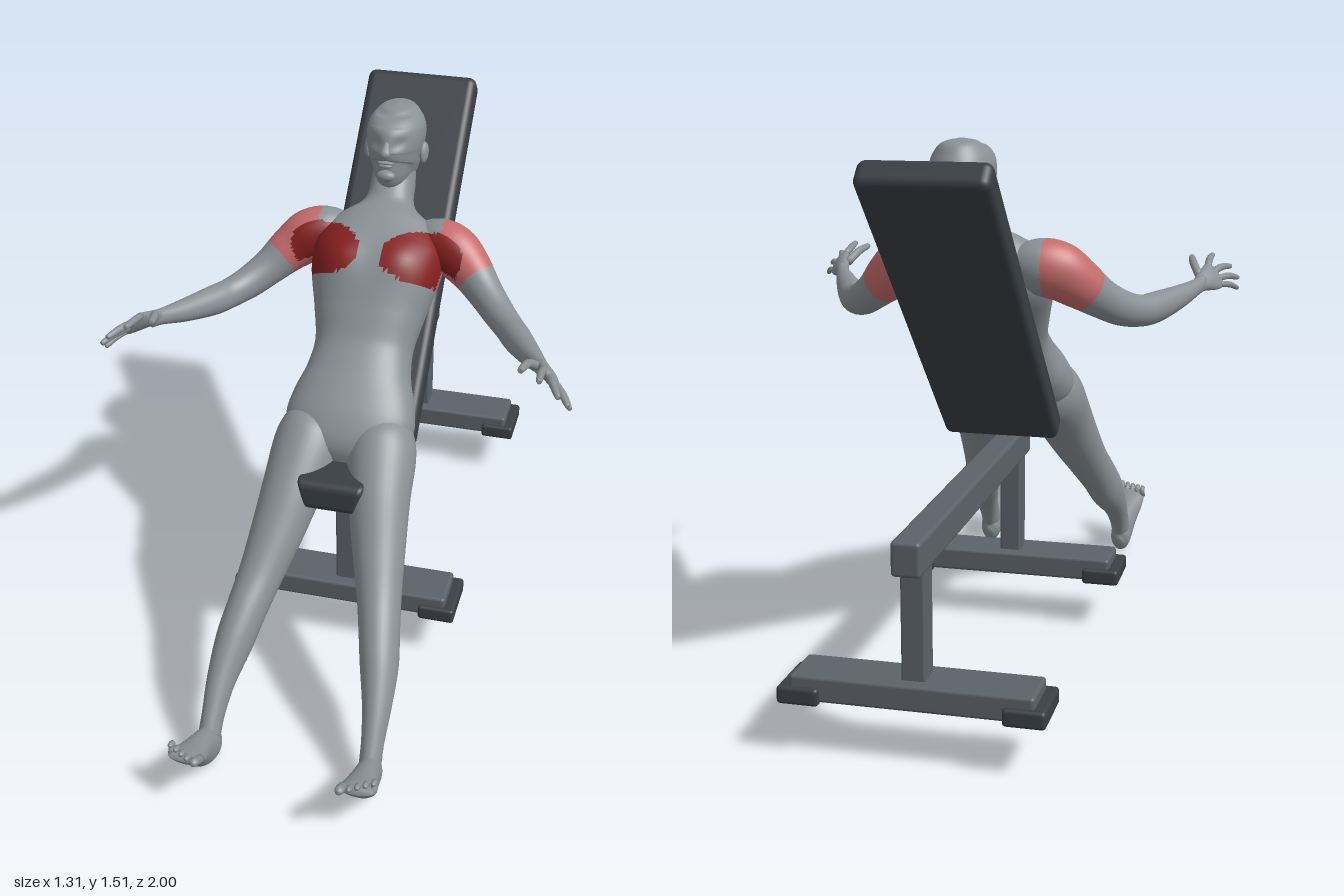
import * as THREE from 'three';
import { RoundedBoxGeometry } from 'three/addons/geometries/RoundedBoxGeometry.js';

const mat = (name, color) => Object.assign(new THREE.MeshStandardMaterial({ color }), { name });

export function createModel() {
  const model = new THREE.Group();
  model.name = 'inclineBenchFigure';
  const skin = mat('skinGrey', 0x8a9195);
  const red = mat('mainMuscleRed', 0x85201f);
  const pink = mat('assistMuscleRed', 0xc46b6b);
  const steel = mat('frameSteel', 0x5c626a);
  const pad = mat('padDark', 0x3a3f44);
  const bodyMats = [skin, red, pink];

  const add = (parent, name, geo, material) => {
    const m = new THREE.Mesh(geo, material);
    m.name = name;
    parent.add(m);
    return m;
  };

  // muscle colour by place: 0 skin, 1 chest, 2 front of shoulder
  const paint = (p) => {
    const x = Math.abs(p.x), u = (p.y - p.z) * 0.7071;
    const e = ((x - 0.145) / 0.112) ** 2 + ((u - 0.945 - (x - 0.145) * 0.15) / 0.083) ** 2;
    if (e < 1 && p.y + p.z > 0.91) return 1;
    const along = (x - 0.24) * 0.67 - (p.y - 1.15) * 0.55 + (p.z + 0.26) * 0.5;
    return x > 0.185 && along < 0.085 && u > 0.86 && p.y > 0.95 ? 2 : 0;
  };

  // smooth skin through sections [x, y, z, half width, half depth]
  function loft(secs, { s = 1, rows = 24, n = 24, ref = [1, 0, 0], power = 2, rule, painted } = {}) {
    const path = new THREE.CatmullRomCurve3(secs.map((c) => new THREE.Vector3(c[0] * s, c[1], c[2])), false, 'catmullrom');
    const size = new THREE.CatmullRomCurve3(secs.map((c) => new THREE.Vector3(c[3], c[4] ?? c[3], 0)), false, 'catmullrom');
    const refV = new THREE.Vector3(ref[0] * s, ref[1], ref[2]);
    const pts = [], faces = [[], [], []];
    const bend = (v) => Math.sign(v) * Math.abs(v) ** (2 / power);
    for (let i = 0; i <= rows; i++) {
      const c = path.getPoint(i / rows), r = size.getPoint(i / rows), t = path.getTangent(i / rows);
      const side = refV.clone().addScaledVector(t, -refV.dot(t)).normalize();
      const deep = t.clone().cross(side);
      for (let j = 0; j < n; j++) {
        const a = (j / n) * Math.PI * 2;
        const p = c.clone().addScaledVector(side, r.x * bend(Math.cos(a))).addScaledVector(deep, r.y * bend(Math.sin(a)));
        if (rule) rule(p);
        pts.push(p);
      }
    }
    pts.push(path.getPoint(0), path.getPoint(1));
    const tri = (a, b, c) => {
      const mid = pts[a].clone().add(pts[b]).add(pts[c]).divideScalar(3);
      faces[painted ? paint(mid) : 0].push(a, b, c);
    };
    const first = pts.length - 2, last = pts.length - 1;
    for (let j = 0; j < n; j++) {
      const k = (j + 1) % n;
      for (let i = 0; i < rows; i++) {
        const a = i * n + j, b = i * n + k;
        tri(a, b, b + n);
        tri(a, b + n, a + n);
      }
      tri(first, k, j);
      tri(last, rows * n + j, rows * n + k);
    }
    const geo = new THREE.BufferGeometry().setFromPoints(pts);
    geo.setIndex(faces.flat());
    let start = 0;
    faces.forEach((f, i) => {
      if (f.length) geo.addGroup(start, f.length, i);
      start += f.length;
    });
    geo.computeVertexNormals();
    return geo;
  }

  // ---- bench ----
  const bench = new THREE.Group();
  bench.name = 'bench';
  model.add(bench);
  const box = (name, x0, x1, y0, y1, z0, z1, r, material) => {
    const m = add(bench, name, new RoundedBoxGeometry(x1 - x0, y1 - y0, z1 - z0, 2, r), material);
    m.position.set((x0 + x1) / 2, (y0 + y1) / 2, (z0 + z1) / 2);
    return m;
  };
  box('mainBeam', -0.038, 0.038, 0.51, 0.6, -1, 0.205, 0.01, steel);
  for (const z of [0.125, -0.908]) {
    box('post', -0.031, 0.031, 0.2, 0.52, z - 0.038, z + 0.038, 0.006, steel);
    box('crossFoot', -0.315, 0.315, 0.155, 0.224, z - 0.072, z + 0.072, 0.01, steel);
    for (const s of [-1, 1]) box('footCap', s * 0.29 - 0.055, s * 0.29 + 0.055, 0.148, 0.195, z - 0.086, z + 0.086, 0.01, pad);
  }
  const back = add(bench, 'backrest', new RoundedBoxGeometry(0.344, 1.175, 0.085, 4, 0.025), pad);
  back.position.set(0, 1.053, -0.407);
  back.rotation.x = -Math.PI / 4;

  // seat pad narrows toward the front and the underside
  const seatGeo = new RoundedBoxGeometry(0.33, 0.095, 0.32, 4, 0.025);
  const sp = seatGeo.attributes.position;
  for (let i = 0; i < sp.count; i++) {
    const front = sp.getZ(i) / 0.32 + 0.5, low = 0.5 - sp.getY(i) / 0.095;
    sp.setX(i, sp.getX(i) * (1 - 0.42 * front) * (1 - 0.22 * low));
  }
  add(bench, 'seat', seatGeo, pad).position.set(0, 0.645, 0.19);

  // ---- figure ----
  const figure = new THREE.Group();
  figure.name = 'figure';
  model.add(figure);

  add(figure, 'torso', loft([
    [0, 0.66, 0.19, 0.05, 0.04], [0, 0.7, 0.16, 0.14, 0.085], [0, 0.75, 0.115, 0.188, 0.102],
    [0, 0.805, 0.058, 0.18, 0.106], [0, 0.86, 0, 0.155, 0.105], [0, 0.92, -0.06, 0.146, 0.106],
    [0, 1.0, -0.12, 0.165, 0.116], [0, 1.085, -0.185, 0.19, 0.128], [0, 1.14, -0.25, 0.195, 0.12],
    [0, 1.185, -0.3, 0.16, 0.096], [0, 1.22, -0.345, 0.095, 0.076], [0, 1.25, -0.375, 0.07, 0.067],
    [0, 1.29, -0.41, 0.066, 0.064], [0, 1.35, -0.435, 0.06, 0.06],
  ], {
    rows: 110, n: 88, power: 2.3, painted: true,
    // raised chest muscles
    rule: (p) => {
      const w = THREE.MathUtils.clamp((p.y + p.z - 0.9) / 0.1, 0, 1);
      const f = 0.016 * w * Math.exp(-(((Math.abs(p.x) - 0.1) / 0.065) ** 2) - (((p.y - p.z) * 0.7071 - 0.92) / 0.06) ** 2);
      p.y += f * 0.7;
      p.z += f * 0.7;
    },
  }), bodyMats);

  // head, with eye sockets pressed in
  add(figure, 'head', loft([
    [0, 1.305, -0.41, 0.03, 0.05], [0, 1.325, -0.408, 0.056, 0.09], [0, 1.35, -0.422, 0.07, 0.124],
    [0, 1.39, -0.436, 0.079, 0.136], [0, 1.43, -0.443, 0.085, 0.133], [0, 1.465, -0.452, 0.083, 0.117],
    [0, 1.495, -0.457, 0.067, 0.088], [0, 1.513, -0.457, 0.042, 0.052], [0, 1.521, -0.457, 0.006, 0.008],
  ], {
    rows: 48, n: 48, ref: [1, 0, 0],
    rule: (p) => {
      if (p.z > -0.42) p.z -= 0.012 * Math.exp(-(((Math.abs(p.x) - 0.035) / 0.018) ** 2) - ((p.y - 1.447) / 0.014) ** 2);
    },
  }), skin);
  add(figure, 'nose', loft([[0, 1.468, -0.345, 0.006], [0, 1.447, -0.315, 0.009], [0, 1.426, -0.294, 0.016, 0.012], [0, 1.417, -0.297, 0.008, 0.005]], { n: 14 }), skin);
  const ball = (name, x, y, z, a, b, c) => {
    const m = add(figure, name, new THREE.SphereGeometry(1, 18, 12), skin);
    m.position.set(x, y, z);
    m.scale.set(a, b, c);
    return m;
  };
  ball('upperLip', 0, 1.396, -0.303, 0.024, 0.005, 0.009);
  ball('lowerLip', 0, 1.386, -0.303, 0.02, 0.006, 0.009);
  ball('chin', 0, 1.351, -0.312, 0.028, 0.017, 0.018);

  for (const s of [1, -1]) {
    const label = s > 0 ? 'left' : 'right';
    ball(label + 'Eye', s * 0.034, 1.447, -0.348, 0.014, 0.008, 0.01);
    ball(label + 'Ear', s * 0.086, 1.382, -0.438, 0.011, 0.032, 0.02).rotation.set(-0.35, s * -0.3, 0);

    add(figure, label + 'Arm', loft([
      [0.09, 1.175, -0.295, 0.04, 0.04], [0.15, 1.168, -0.285, 0.074, 0.068], [0.215, 1.155, -0.268, 0.081, 0.074],
      [0.27, 1.118, -0.243, 0.07, 0.064], [0.325, 1.072, -0.2, 0.056, 0.052], [0.375, 1.038, -0.15, 0.05, 0.046],
      [0.42, 1.022, -0.092, 0.045, 0.042], [0.455, 1.024, -0.028, 0.044, 0.041], [0.505, 1.038, 0.07, 0.034, 0.032],
      [0.545, 1.055, 0.15, 0.024, 0.021], [0.56, 1.063, 0.185, 0.025, 0.018],
    ], { s, rows: 72, n: 48, ref: [0, 1, 0], painted: true }), bodyMats);

    const handRef = [-0.5, 0.8, 0.2];
    add(figure, label + 'Palm', loft([
      [0.55, 1.058, 0.16, 0.02, 0.016], [0.563, 1.066, 0.19, 0.03, 0.018], [0.58, 1.073, 0.225, 0.041, 0.017],
      [0.589, 1.077, 0.25, 0.041, 0.014], [0.593, 1.079, 0.262, 0.03, 0.006],
    ], { s, rows: 18, ref: handRef }), skin);
    // fingers: base, middle joint, tip
    [
      [[0.547, 1.083, 0.2], [0.525, 1.113, 0.245], [0.514, 1.122, 0.298], 0.012],
      [[0.568, 1.104, 0.245], [0.567, 1.118, 0.3], [0.57, 1.124, 0.345], 0.0105],
      [[0.584, 1.086, 0.248], [0.602, 1.094, 0.305], [0.622, 1.09, 0.354], 0.0105],
      [[0.598, 1.068, 0.246], [0.624, 1.069, 0.298], [0.647, 1.059, 0.34], 0.01],
      [[0.608, 1.052, 0.238], [0.632, 1.046, 0.278], [0.65, 1.032, 0.31], 0.009],
    ].forEach(([a, b, c, r], i) => {
      const end = c.map((v, k) => v + (c[k] - b[k]) * 0.08);
      add(figure, label + (i ? 'Finger' : 'Thumb'), loft([[...a, r], [...b, r], [...c, r * 0.75], [...end, r * 0.2]], { s, rows: 12, n: 10, ref: handRef }), skin);
    });

    add(figure, label + 'Leg', loft([
      [0.09, 0.78, 0.085, 0.06, 0.06], [0.104, 0.735, 0.13, 0.092, 0.098], [0.112, 0.69, 0.18, 0.1, 0.104],
      [0.128, 0.617, 0.265, 0.089, 0.092], [0.15, 0.52, 0.358, 0.077, 0.08], [0.175, 0.425, 0.452, 0.064, 0.07],
      [0.195, 0.355, 0.53, 0.058, 0.069], [0.212, 0.288, 0.597, 0.054, 0.068], [0.226, 0.215, 0.68, 0.041, 0.05],
      [0.231, 0.145, 0.745, 0.032, 0.041], [0.233, 0.09, 0.785, 0.03, 0.04], [0.234, 0.06, 0.805, 0.02, 0.03],
    ], { s, rows: 60, n: 36 }), skin);

    add(figure, label + 'Foot', loft([
      [0.233, 0.043, 0.75, 0.012, 0.02], [0.233, 0.052, 0.768, 0.03, 0.045], [0.234, 0.074, 0.8, 0.035, 0.056],
      [0.236, 0.103, 0.85, 0.038, 0.05], [0.239, 0.138, 0.905, 0.046, 0.033], [0.24, 0.166, 0.948, 0.049, 0.02],
      [0.24, 0.178, 0.966, 0.04, 0.01],
    ], { s, rows: 30, n: 28 }), skin);
    // toes, big one on the inside
    for (let i = 0; i < 5; i++) {
      const x = 0.201 + i * 0.0195 + (i ? 0.004 : 0), r = i ? 0.009 : 0.0135, k = 1 - i * 0.012 - (i ? 0 : 0.002);
      add(figure, label + 'Toe', loft([
        [x, 0.165, 0.945, r], [x, 0.187, k - 0.022, r], [x, 0.195, k - 0.006, r * 0.85], [x, 0.199, k, r * 0.2],
      ], { s, rows: 10, n: 10 }), skin);
    }
  }
  return model;
}
